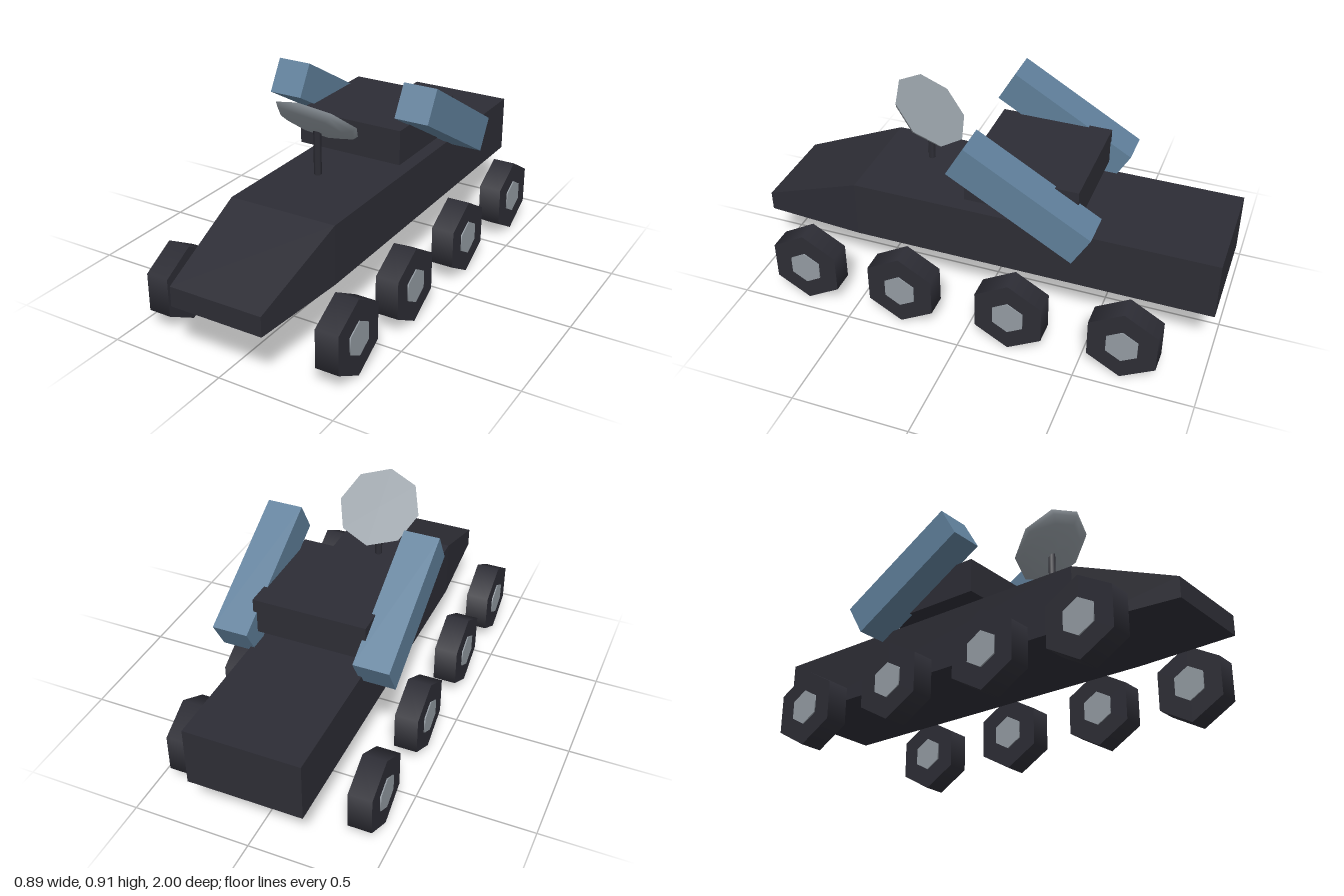
import * as THREE from 'three';

const paint = (name, color) => {
  const m = new THREE.MeshStandardMaterial({ color });
  m.name = name;
  return m;
};

export function createModel() {
  const dark = paint('charcoal', 0x2d2d35);
  const blue = paint('steel blue', 0x5f7f9a);
  const grey = paint('light grey', 0x939ba2);

  const model = new THREE.Group();
  model.name = 'rover';
  const add = (name, geometry, material, parent = model) => {
    const mesh = new THREE.Mesh(geometry, material);
    mesh.name = name;
    parent.add(mesh);
    return mesh;
  };

  // Hull: a box with one extra cross-section, tapered towards the nose
  let hull = new THREE.BoxGeometry(2, 1, 2, 1, 1, 2);
  const sections = [
    { z: -1, w: 0.24, bottom: 0.25, top: 0.505 },
    { z: 0.56, w: 0.24, bottom: 0.25, top: 0.505 },
    { z: 1, w: 0.205, bottom: 0.245, top: 0.33 },
  ];
  const p = hull.attributes.position;
  for (let i = 0; i < p.count; i++) {
    const s = sections[Math.round(p.getZ(i)) + 1];
    p.setXYZ(i, p.getX(i) * s.w, p.getY(i) > 0 ? s.top : s.bottom, s.z);
  }
  hull = hull.toNonIndexed();
  hull.computeVertexNormals();
  add('hull', hull, dark);

  // Raised deck module
  add('turret', new THREE.BoxGeometry(0.48, 0.15, 0.48), dark).position.set(0, 0.635, -0.18);

  // Dish on its post: shallow eight-sided bowl with a flat face
  add('dishPost', new THREE.CylinderGeometry(0.016, 0.016, 0.19, 6), dark).position.set(0, 0.655, 0.302);
  const dish = new THREE.Group();
  dish.name = 'dish';
  dish.position.set(0, 0.795, 0.3);
  dish.rotation.x = THREE.MathUtils.degToRad(-40);
  model.add(dish);
  const profile = [];
  for (let i = 0; i <= 4; i++) {
    const a = (i / 4) * Math.PI / 2;
    profile.push(new THREE.Vector2(0.18 * Math.sin(a), -0.045 * Math.cos(a)));
  }
  add('dishBowl', new THREE.LatheGeometry(profile, 8), grey, dish);
  add('dishFace', new THREE.CircleGeometry(0.18, 8).rotateX(-Math.PI / 2), grey, dish);

  // Side pods and four six-sided wheels on each side
  const podGeometry = new THREE.BoxGeometry(0.15, 0.15, 0.6);
  const tyreGeometry = new THREE.CylinderGeometry(0.165, 0.165, 0.1, 6).rotateX(Math.PI / 2).rotateY(Math.PI / 2);
  const hubGeometry = new THREE.CylinderGeometry(0.075, 0.075, 0.11, 6).rotateX(Math.PI / 2).rotateY(Math.PI / 2);
  // Point the hexagon corners straight up and down
  for (const g of [tyreGeometry, hubGeometry]) {
    g.computeBoundingBox();
    const size = g.boundingBox.getSize(new THREE.Vector3());
    if (size.z > size.y) g.rotateX(Math.PI / 2);
  }
  for (const [side, s] of [['left', 1], ['right', -1]]) {
    const pod = add(side + 'Pod', podGeometry, blue);
    pod.position.set(s * 0.3, 0.685, -0.215);
    pod.rotation.x = -Math.PI / 6;
    [0.72, 0.28, -0.2, -0.68].forEach((z, i) => {
      const wheel = new THREE.Group();
      wheel.name = side + 'Wheel' + (i + 1);
      wheel.position.set(s * 0.39, 0.165, z);
      add('tyre', tyreGeometry, dark, wheel);
      add('hub', hubGeometry, grey, wheel);
      model.add(wheel);
    });
  }
  return model;
}
